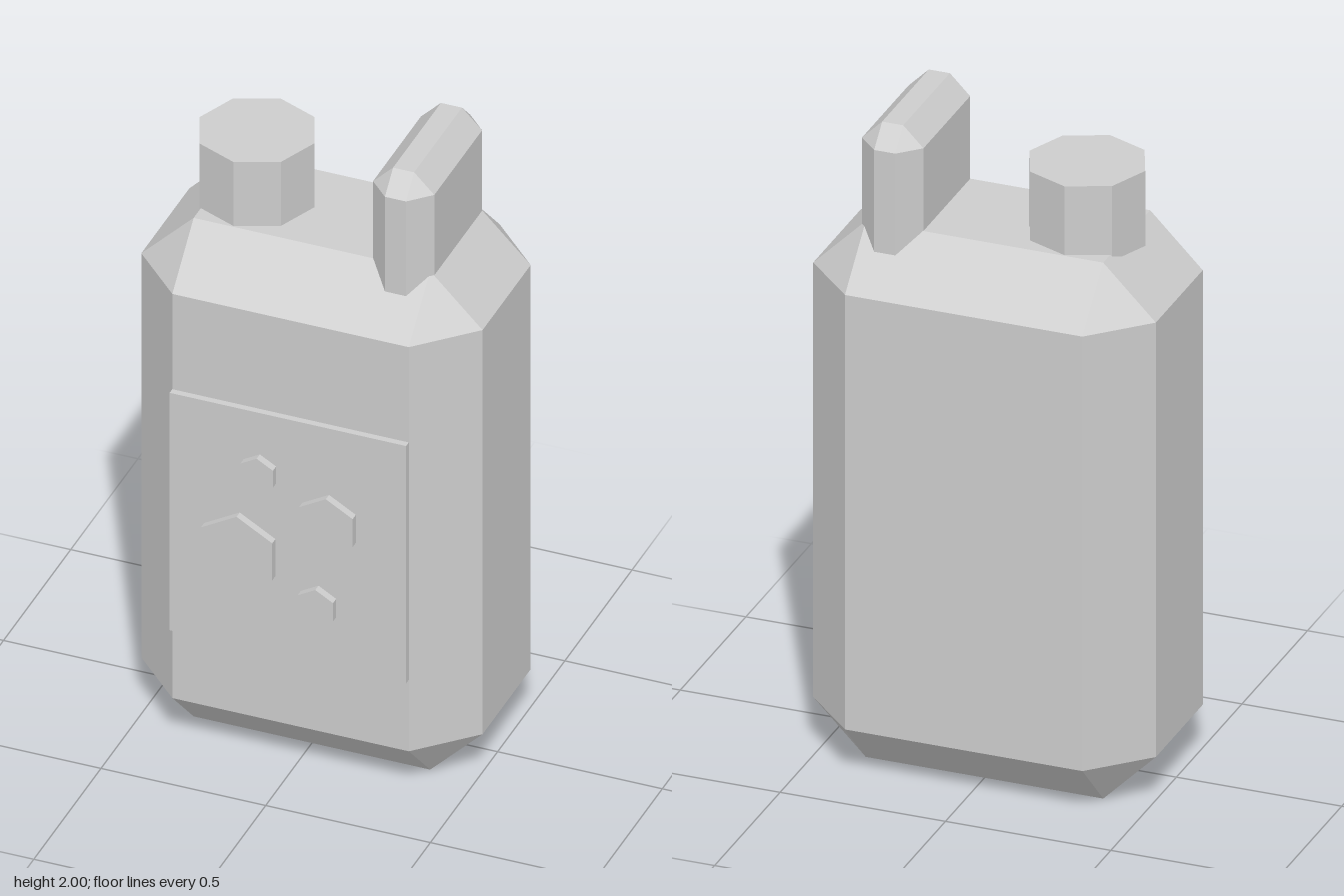
import * as THREE from 'three';
import { ConvexGeometry } from 'three/addons/geometries/ConvexGeometry.js';

// Box with every edge cut at 45 degrees; half sizes x, y, z and bevel width d
function chamferedBox(x, y, z, d) {
  const points = [];
  for (const sx of [-1, 1]) for (const sy of [-1, 1]) for (const sz of [-1, 1]) {
    points.push(
      new THREE.Vector3(sx * x, sy * (y - d), sz * (z - d)),
      new THREE.Vector3(sx * (x - d), sy * y, sz * (z - d)),
      new THREE.Vector3(sx * (x - d), sy * (y - d), sz * z));
  }
  return new ConvexGeometry(points);
}

export function createModel() {
  const group = new THREE.Group();
  const grey = new THREE.MeshStandardMaterial({ color: 0xcccccc, flatShading: true });
  grey.name = 'light grey';

  const add = (name, geometry, x, y, z) => {
    const mesh = new THREE.Mesh(geometry, grey);
    mesh.name = name;
    mesh.position.set(x, y, z);
    group.add(mesh);
    return mesh;
  };

  const midZ = -0.023;

  // Canister body, with the handle sunk into its top
  add('body', chamferedBox(0.518, 0.84, 0.338, 0.159), 0, 0.84, midZ);
  add('handle', chamferedBox(0.093, 0.26, 0.239, 0.061), 0.278, 1.74, midZ);

  // Eight-sided cap
  add('cap', new THREE.CylinderGeometry(0.175, 0.175, 0.235, 8), -0.24, 1.778, midZ);

  // Raised front panel
  add('frontPanel', new THREE.BoxGeometry(0.718, 0.8, 0.04), 0, 0.8, 0.315);

  // Hexagonal studs on the panel: x, y, radius
  const studs = [[-0.085, 1.004, 0.057], [0.125, 0.883, 0.094], [-0.146, 0.725, 0.125], [0.093, 0.601, 0.062]];
  studs.forEach(([x, y, r], i) => {
    const stud = add(`hexStud${i + 1}`, new THREE.CylinderGeometry(r, r, 0.04, 6), x, y, 0.339);
    stud.rotation.x = Math.PI / 2;
  });

  return group;
}
